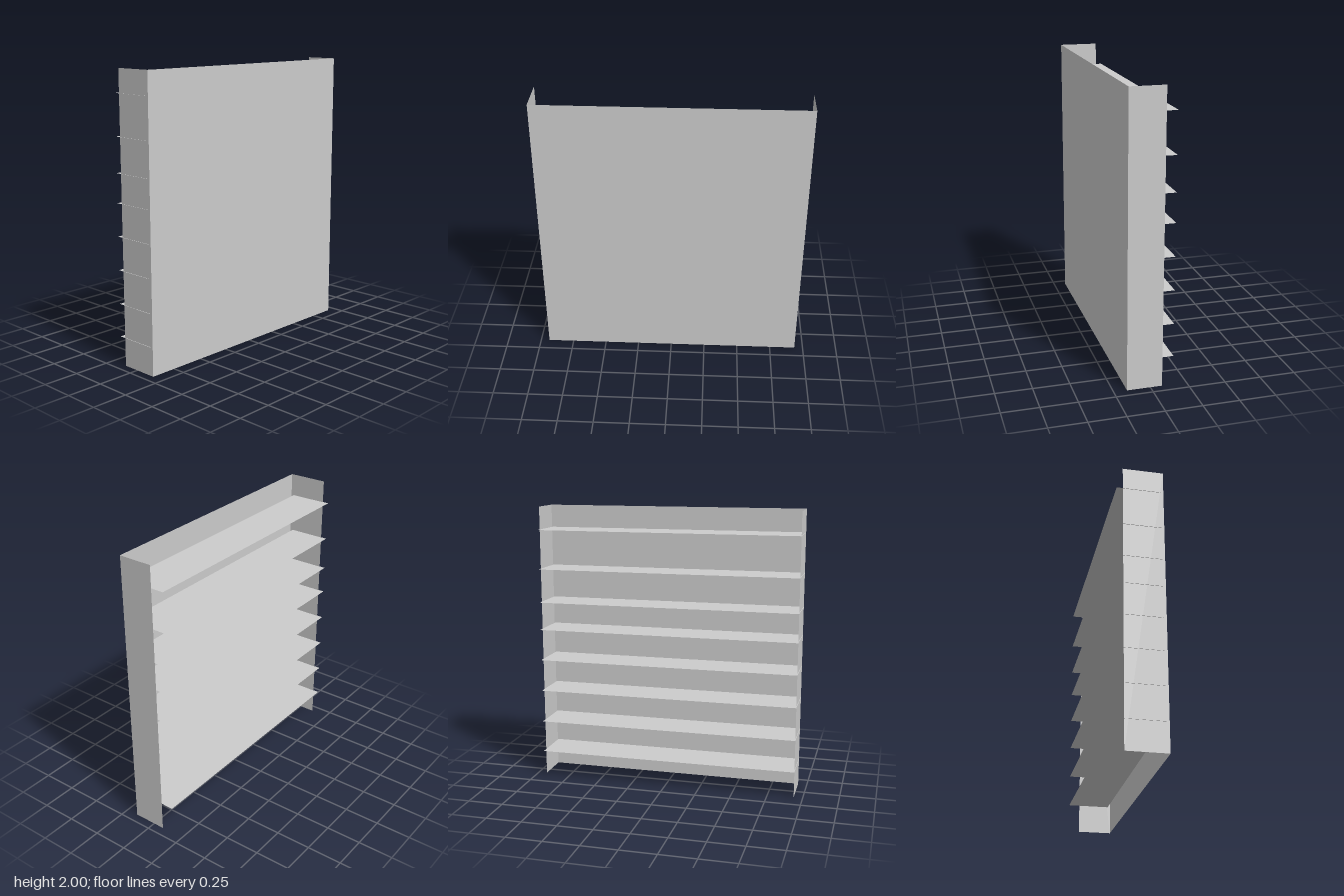
import * as THREE from 'three';

const material = new THREE.MeshStandardMaterial({ color: 0xcccccc, side: THREE.DoubleSide });

// A thin flat sheet, turned and placed by its centre
function sheet(name, width, height, position, rotation = [0, 0, 0]) {
  const mesh = new THREE.Mesh(new THREE.PlaneGeometry(width, height), material);
  mesh.name = name;
  mesh.position.set(...position);
  mesh.rotation.set(...rotation);
  return mesh;
}

export function createModel() {
  const model = new THREE.Group();
  model.name = 'shelfUnit';

  const halfWidth = 0.937, height = 2, front = 0.16;

  // Closed front panel
  model.add(sheet('frontPanel', halfWidth * 2, height, [0, height / 2, front]));

  // Side panels, the right one slightly deeper
  for (const [name, side, depth] of [['leftSide', 1, 0.24], ['rightSide', -1, 0.277]]) {
    model.add(sheet(name, depth, height,
      [side * halfWidth, height / 2, front - depth / 2], [0, side * Math.PI / 2, 0]));
  }

  // Shelves, standing out past the back edges of the sides
  const shelves = new THREE.Group();
  shelves.name = 'shelves';
  const left = 0.924, right = -0.941, shelfFront = 0.14, shelfBack = -0.16;
  for (const y of [1.84, 1.56, 1.32, 1.12, 0.895, 0.665, 0.43, 0.2]) {
    shelves.add(sheet('shelf', left - right, shelfFront - shelfBack,
      [(left + right) / 2, y, (shelfFront + shelfBack) / 2], [-Math.PI / 2, 0, 0]));
  }
  model.add(shelves);

  return model;
}
